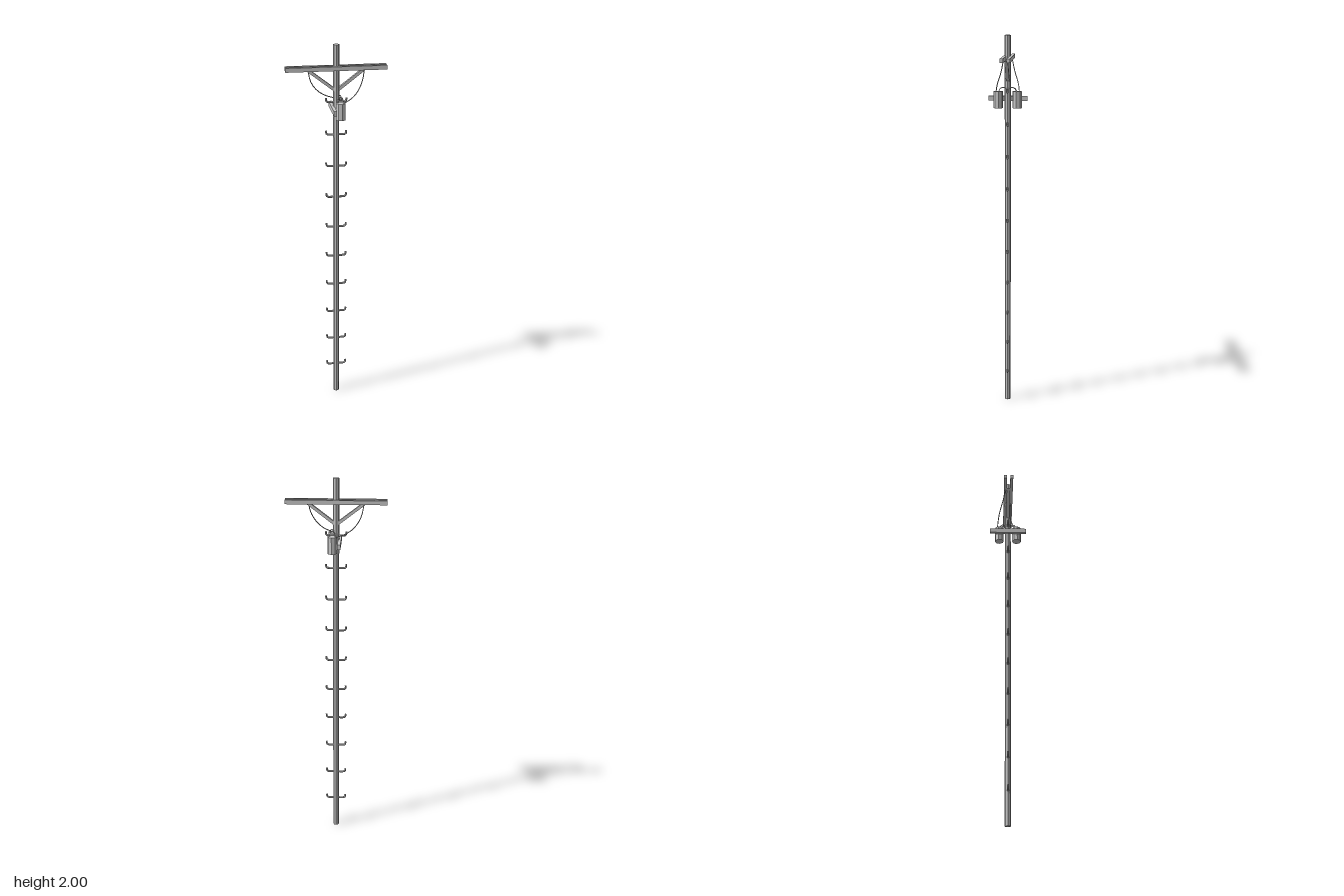
import * as THREE from 'three';

const material = new THREE.MeshStandardMaterial({ color: 0xcccccc, flatShading: true });

export function createModel() {
  const model = new THREE.Group();

  const add = (name, geometry, x = 0, y = 0, z = 0) => {
    const mesh = new THREE.Mesh(geometry, material);
    mesh.name = name;
    mesh.position.set(x, y, z);
    model.add(mesh);
    return mesh;
  };

  // Round rod along a smooth path, closed at both ends
  const rod = (name, points, radius, segments, sides) => {
    const path = new THREE.CatmullRomCurve3(points.map(p => new THREE.Vector3(...p)));
    add(name, new THREE.TubeGeometry(path, segments, radius, sides), 0, 0, 0);
    for (const [t, sign] of [[0, -1], [1, 1]]) {
      const cap = add(name + 'End', new THREE.CircleGeometry(radius, sides));
      cap.position.copy(path.getPointAt(t));
      cap.quaternion.setFromUnitVectors(new THREE.Vector3(0, 0, 1), path.getTangentAt(t).multiplyScalar(sign));
    }
  };

  // Pole
  add('pole', new THREE.CylinderGeometry(0.016, 0.016, 2, 8), 0, 1, 0);

  // Twin crossarms clamping the pole
  for (const s of [-1, 1]) {
    add('crossarm', new THREE.BoxGeometry(0.51, 0.021, 0.016), 0, 1.883, s * 0.017);
  }

  // Diagonal braces, cut level under the crossarms and upright at the pole
  for (const s of [-1, 1]) {
    const shape = new THREE.Shape([
      [0, 1.757], [s * 0.155, 1.876], [s * 0.131, 1.876], [0, 1.776],
    ].map(p => new THREE.Vector2(...p)));
    add('brace', new THREE.ExtrudeGeometry(shape, { depth: 0.018, bevelEnabled: false }), 0, 0, -0.009);
  }

  // Short beam carrying the transformers
  add('transformerBeam', new THREE.BoxGeometry(0.016, 0.025, 0.202), -0.018, 1.677, 0);

  // Transformer cans with their jumper wires
  for (const s of [-1, 1]) {
    const can = add('transformer', new THREE.CylinderGeometry(0.025, 0.025, 0.086, 8), 0.017, 1.673, s * 0.049);
    can.rotation.y = 0.15 * s;
    for (const [x, endX] of [[0.002, 0.014], [0.034, 0.016]]) {
      rod('jumperWire', [
        [x, 1.712, s * 0.047], [x + (endX - x) * 0.3, 1.73, s * 0.038],
        [x + (endX - x) * 0.7, 1.736, s * 0.024], [endX - 0.003, 1.73, s * 0.006],
      ], 0.002, 6, 5);
    }
  }

  // Drooping feed wires from the crossarms to the cans
  rod('feedWire', [
    [0.14, 1.876, 0.015], [0.128, 1.82, 0.027], [0.1, 1.768, 0.045],
    [0.065, 1.735, 0.054], [0.022, 1.714, 0.059],
  ], 0.0026, 10, 5);
  rod('feedWire', [
    [-0.14, 1.876, -0.015], [-0.125, 1.81, -0.03], [-0.088, 1.758, -0.048],
    [-0.045, 1.73, -0.056], [0.007, 1.714, -0.06],
  ], 0.0026, 10, 5);

  // Climbing steps with upturned tips
  for (let i = 0; i < 10; i++) {
    const y = 0.176 + i * 0.1705;
    for (const s of [-1, 1]) {
      rod('climbingStep', [
        [s * 0.01, y, 0], [s * 0.035, y, 0], [s * 0.047, y + 0.002, 0],
        [s * 0.0515, y + 0.009, 0], [s * 0.052, y + 0.02, 0],
      ], 0.0055, 8, 6);
    }
  }

  return model;
}
